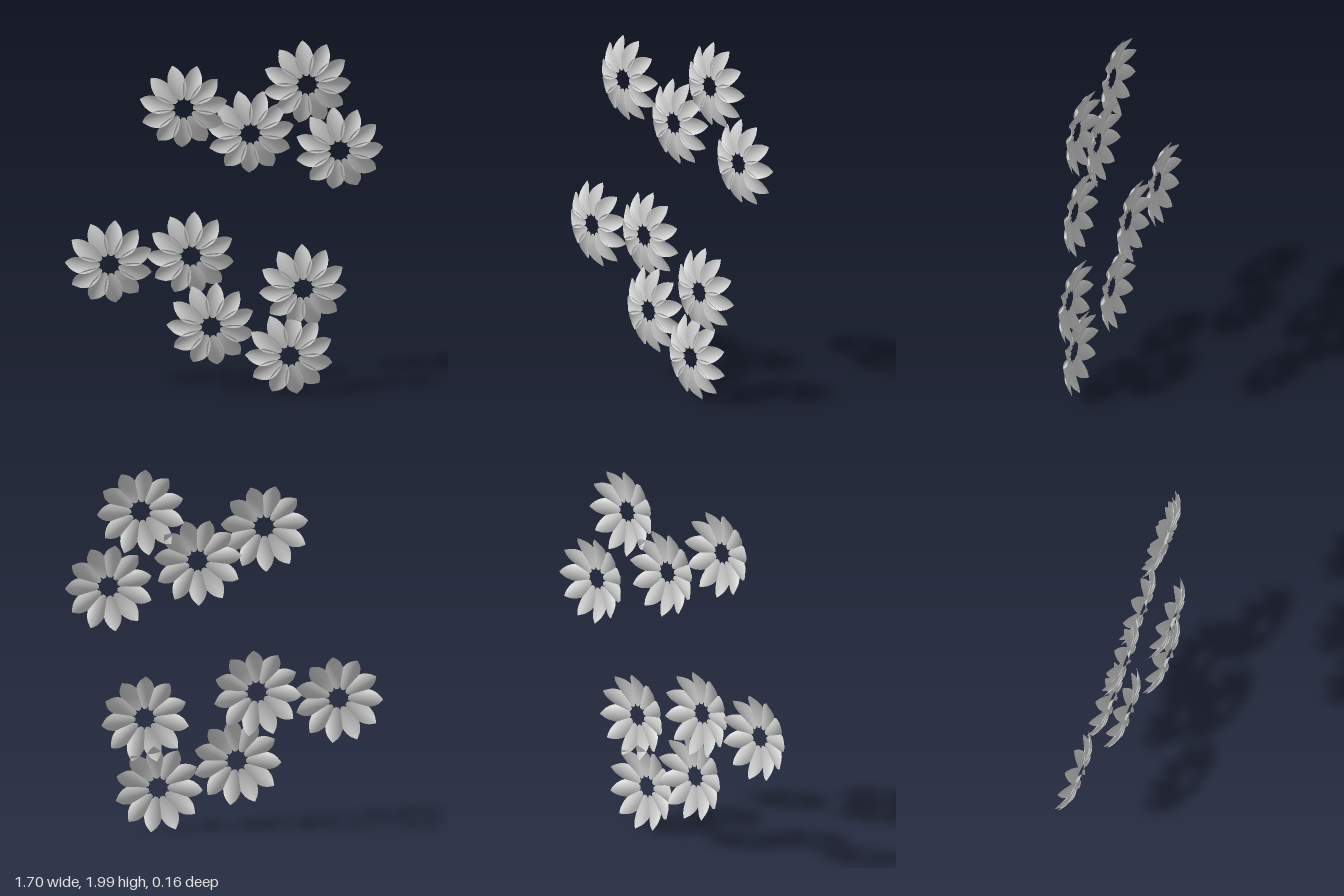
import * as THREE from 'three';

const PETALS = 11;
const INNER = 0.05;
const OUTER = 0.236;
const LAYER_FRONT = { front: 0.08, middle: 0.027, back: -0.027 };

// x, y, angle of one petal tip in degrees, depth layer
const FLOWERS = [
  [-0.23, 1.66, 268, 'front'],
  [0.13, 1.49, 269, 'middle'],
  [0.435, 1.765, 96, 'middle'],
  [0.61, 1.365, 0, 'back'],
  [-0.622, 0.74, 82, 'back'],
  [-0.185, 0.78, 85, 'back'],
  [-0.08, 0.395, 279, 'middle'],
  [0.41, 0.622, 91, 'front'],
  [0.338, 0.24, 280, 'front'],
];

// Outline of half a petal: (half width, position from root to tip)
const outline = new THREE.SplineCurve([
  [0.008, 0], [0.029, 0.15], [0.042, 0.32], [0.049, 0.52], [0.043, 0.72], [0.028, 0.87], [0.002, 1],
].map(([w, t]) => new THREE.Vector2(w, t)));

// Petal pointing up: edges curl forward, the tip bends back
function petalGeometry() {
  const geometry = new THREE.PlaneGeometry(2, 1, 8, 14);
  const pos = geometry.attributes.position;
  for (let i = 0; i < pos.count; i++) {
    const side = pos.getX(i);
    const { x: halfWidth, y: t } = outline.getPoint(pos.getY(i) + 0.5);
    const curl = 0.018 * (side * halfWidth / 0.049) ** 2;
    pos.setXYZ(i, side * halfWidth, INNER + (OUTER - INNER) * t, -0.006 - 0.047 * t * t + curl);
  }
  geometry.computeVertexNormals();
  return geometry;
}

export function createModel() {
  const model = new THREE.Group();
  model.name = 'flowerCluster';
  const material = new THREE.MeshStandardMaterial({ color: 0xcccccc, side: THREE.DoubleSide });
  const geometry = petalGeometry();

  for (const [x, y, tipAngle, layer] of FLOWERS) {
    const flower = new THREE.Group();
    flower.name = 'flower';
    // Ring of petals around an open centre
    for (let i = 0; i < PETALS; i++) {
      const petal = new THREE.Mesh(geometry, material);
      petal.name = 'petal';
      petal.rotation.z = (i / PETALS) * Math.PI * 2;
      flower.add(petal);
    }
    flower.position.set(x, y, LAYER_FRONT[layer]);
    flower.rotation.z = THREE.MathUtils.degToRad(tipAngle - 90);
    model.add(flower);
  }
  return model;
}
